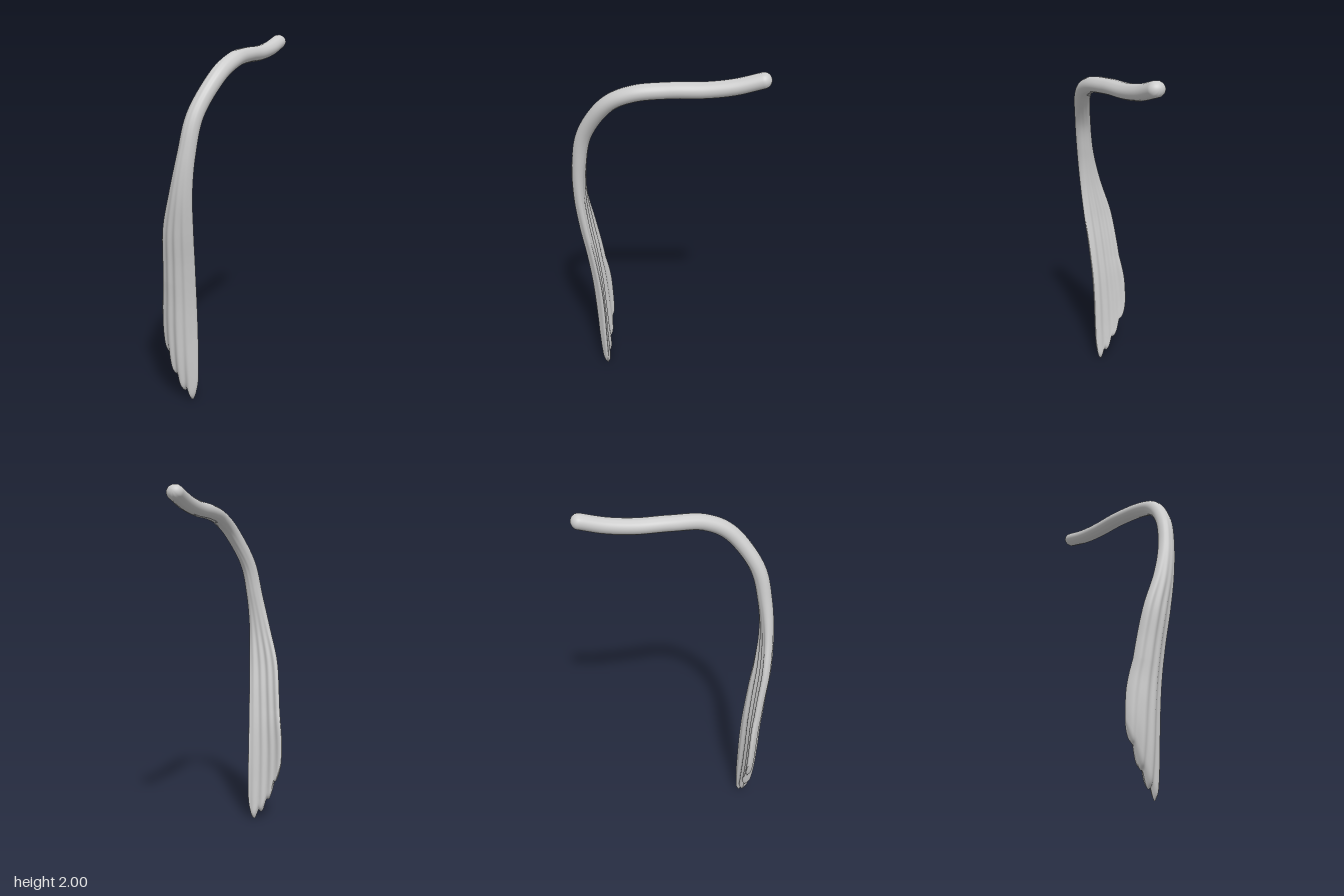
import * as THREE from 'three';

// centre x, y, z, half width, half thickness, bow of the cross-section
const KEYS = [
  [0.287, 1.958, -0.438, 0.046, 0.041, 0],
  [0.235, 1.918, -0.31, 0.047, 0.042, 0],
  [0.178, 1.895, -0.17, 0.048, 0.042, 0],
  [0.113, 1.886, 0.0, 0.049, 0.042, 0],
  [0.053, 1.862, 0.18, 0.048, 0.043, 0],
  [-0.022, 1.782, 0.31, 0.047, 0.043, 0],
  [-0.123, 1.6, 0.407, 0.047, 0.042, 0],
  [-0.168, 1.4, 0.434, 0.051, 0.04, 0.004],
  [-0.2, 1.2, 0.426, 0.067, 0.036, 0.012],
  [-0.221, 1.0, 0.39, 0.09, 0.033, 0.022],
  [-0.224, 0.8, 0.35, 0.097, 0.031, 0.029],
  [-0.225, 0.6, 0.32, 0.102, 0.03, 0.034],
  [-0.227, 0.4, 0.303, 0.108, 0.029, 0.036],
  [-0.227, 0.22, 0.297, 0.11, 0.028, 0.03],
  [-0.226, 0.1, 0.294, 0.109, 0.026, 0.022],
  [-0.225, 0.035, 0.292, 0.107, 0.021, 0.016],
  [-0.224, 0.0, 0.291, 0.103, 0.0, 0.013],
];
const SIDES = 96, ROWS = 180, CAP = 10, FAN_TOP = 0.7;
const ACROSS = new THREE.Vector3(0.92, 0, 0.39).normalize();
const LONGEST = 0.65; // position of the longest lobe across the fan

// height of the slanted lower edge with rounded lobes; s runs from -1 to 1 across the fan
function fanEdge(s) {
  const d = LONGEST - s;
  if (d < 0) return 0.16 * (1 - Math.sqrt(1 - (d / 0.36) ** 2));
  const lobe = 1 - Math.abs(Math.cos(d * Math.PI * 2));
  return 0.07 * d + 0.081 * d * d + 0.04 * lobe;
}

function sweptGeometry() {
  const path = new THREE.CatmullRomCurve3(KEYS.map(k => new THREE.Vector3(k[0], k[1], k[2])), false, 'catmullrom', 0.5);
  const size = new THREE.CatmullRomCurve3(KEYS.map(k => new THREE.Vector3(k[3], k[4], k[5])), false, 'catmullrom', 0.5);
  const pos = [], index = [];

  function ring(u, scale, back) {
    const c = path.getPoint(u), q = size.getPoint(u), t = path.getTangent(u);
    const n = new THREE.Vector3().crossVectors(t, ACROSS).normalize();
    c.addScaledVector(t, -back);
    const flat = THREE.MathUtils.smoothstep(q.x, 0.05, 0.105);
    for (let j = 0; j < SIDES; j++) {
      const a = j / SIDES * Math.PI * 2, s = Math.cos(a), sin = Math.sin(a);
      // the fan has fuller rims than the round stem
      const d = Math.sign(sin) * Math.abs(sin) ** (1 - 0.25 * flat);
      // lengthwise ridges, deeper on the fan and in line with its lobes
      const ridge = 1 + (0.015 + 0.15 * flat) * Math.cos((s - LONGEST) * Math.PI * 4);
      const p = c.clone()
        .addScaledVector(ACROSS, q.x * s * scale)
        .addScaledVector(n, Math.max(q.y, 0) * d * scale * ridge + q.z * (1 - s * s));
      if (c.y < FAN_TOP) {
        const f = (FAN_TOP - c.y) / FAN_TOP;
        p.y = FAN_TOP - f * (FAN_TOP - fanEdge(s)) + (p.y - c.y) * (1 - f);
      }
      pos.push(p.x, p.y, p.z);
    }
  }

  // rounded upper tip, then the stem and fan
  for (let i = 0; i < CAP; i++) {
    const a = i / CAP * Math.PI / 2;
    ring(0, Math.max(Math.sin(a), 0.001), 0.042 * Math.cos(a));
  }
  for (let i = 0; i <= ROWS; i++) {
    // rows crowd together at the lower edge to round it
    const u = i / ROWS;
    ring(u < 0.9 ? u : 1 - (1 - u) ** 2 / 0.1, 1, 0);
  }

  const rings = CAP + ROWS + 1;
  for (let i = 0; i < rings - 1; i++) {
    for (let j = 0; j < SIDES; j++) {
      const k = (j + 1) % SIDES;
      const a = i * SIDES + j, b = i * SIDES + k;
      index.push(a, b, a + SIDES, b, b + SIDES, a + SIDES);
    }
  }
  const g = new THREE.BufferGeometry();
  g.setAttribute('position', new THREE.Float32BufferAttribute(pos, 3));
  g.setIndex(index);
  g.computeVertexNormals();
  return g;
}

export function createModel() {
  const group = new THREE.Group();
  group.name = 'tail';
  const mesh = new THREE.Mesh(sweptGeometry(), new THREE.MeshStandardMaterial({ color: 0xcccccc, side: THREE.DoubleSide }));
  mesh.name = 'curvedStemWithFan';
  group.add(mesh);
  return group;
}
